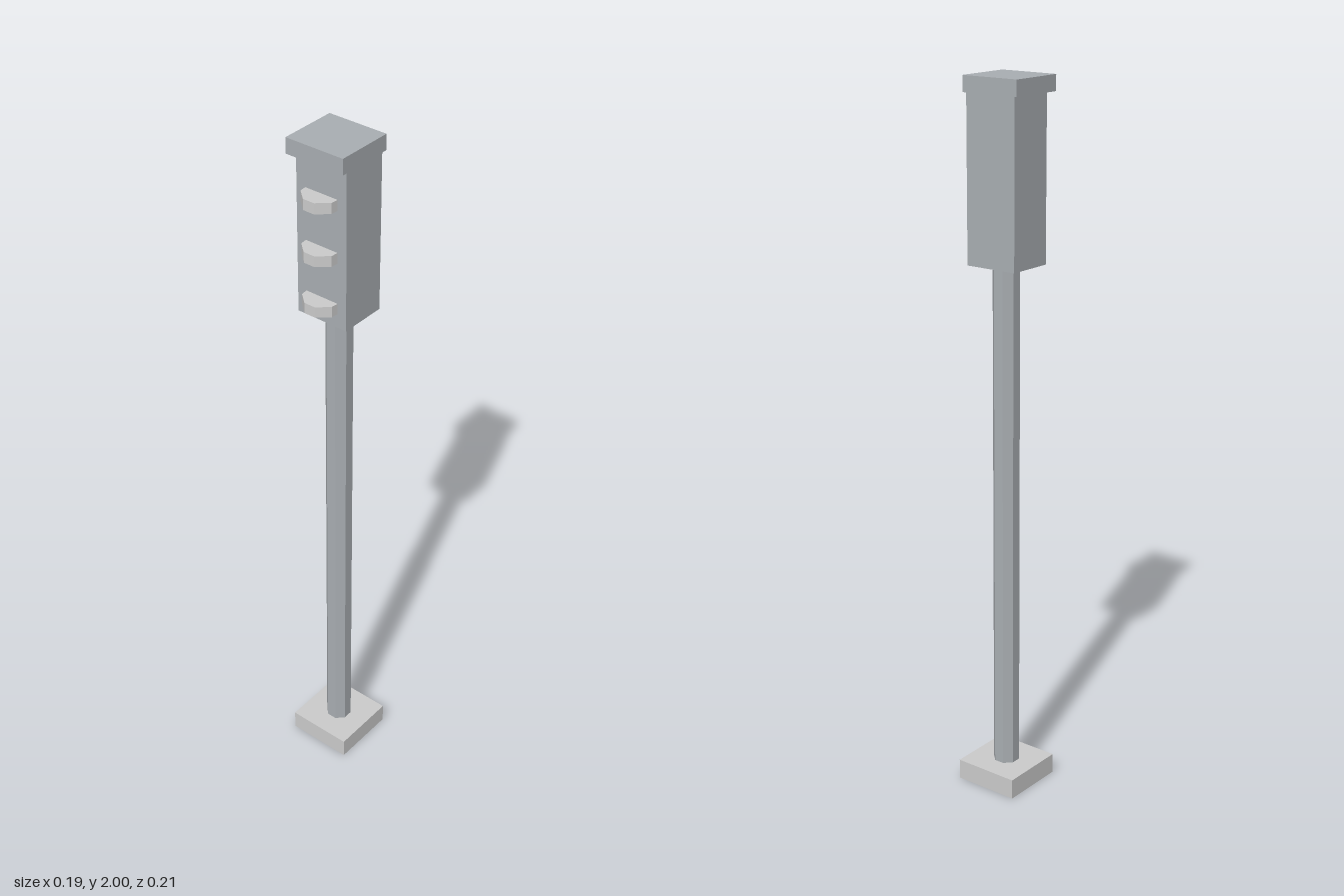
import * as THREE from 'three';

const stone = new THREE.MeshStandardMaterial({ color: 0xcccccc, flatShading: true });
const metal = new THREE.MeshStandardMaterial({ color: 0xa9aeb2, flatShading: true });

export function createModel() {
  const model = new THREE.Group();
  model.name = 'signalPost';

  const add = (name, geometry, material, x, y, z) => {
    const mesh = new THREE.Mesh(geometry, material);
    mesh.name = name;
    mesh.position.set(x, y, z);
    model.add(mesh);
    return mesh;
  };

  // Box given by its width and its y and z ranges
  const addBox = (name, material, width, y0, y1, z0, z1) =>
    add(name, new THREE.BoxGeometry(width, y1 - y0, z1 - z0), material, 0, (y0 + y1) / 2, (z0 + z1) / 2);

  // Foot plate and octagonal pole
  addBox('base', stone, 0.192, 0, 0.058, -0.108, 0.084);
  const pole = new THREE.CylinderGeometry(0.0375, 0.0375, 1.456, 8).rotateY(Math.PI / 8);
  add('pole', pole, metal, 0, 0.784, -0.011);

  // Signal housing with an overhanging cap
  addBox('housing', metal, 0.155, 1.51, 1.96, -0.077, 0.058);
  addBox('cap', metal, 0.174, 1.957, 2, -0.08, 0.084);

  // Three half-octagon visors on the front
  const outline = new THREE.Shape([
    [-0.05, 0], [0.05, 0], [0.048, -0.02], [0.017, -0.048], [-0.017, -0.048], [-0.048, -0.02],
  ].map(([x, y]) => new THREE.Vector2(x, y)));
  const visor = new THREE.ExtrudeGeometry(outline, { depth: 0.03, bevelEnabled: false });
  visor.rotateX(-Math.PI / 2).translate(0, -0.015, 0);
  ['upperVisor', 'middleVisor', 'lowerVisor'].forEach((name, i) =>
    add(name, visor, stone, 0, 1.855 - i * 0.145, 0.058));

  return model;
}
